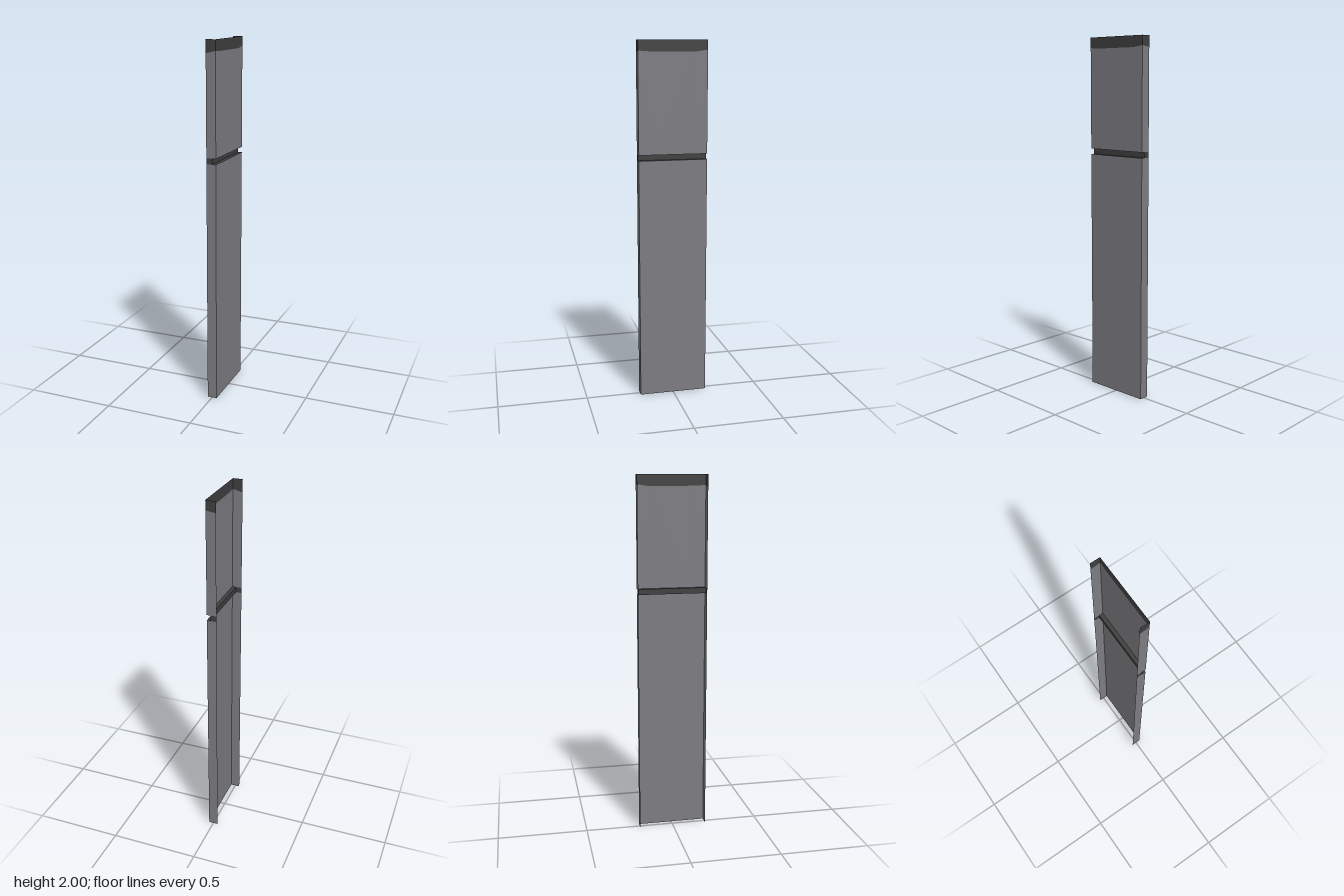
import * as THREE from 'three';

const X = 0.027, Z = 0.192;            // half depth and half width of the channel
const GROOVE_X = 0.005;                // face of the recessed groove
const GROOVE_LOW = 1.357, GROOVE_HIGH = 1.388;

// Open sheet that follows a plan path; each point is [x, z, bottom, top].
function sheet(name, path, material) {
  const pos = [];
  for (let i = 0; i < path.length - 1; i++) {
    const [x0, z0, b0, t0] = path[i];
    const [x1, z1, b1, t1] = path[i + 1];
    pos.push(x0, b0, z0, x1, b1, z1, x1, t1, z1);
    pos.push(x0, b0, z0, x1, t1, z1, x0, t0, z0);
  }
  const geometry = new THREE.BufferGeometry();
  geometry.setAttribute('position', new THREE.Float32BufferAttribute(pos, 3));
  geometry.computeVertexNormals();
  const mesh = new THREE.Mesh(geometry, material);
  mesh.name = name;
  return mesh;
}

// Three-sided channel: front flange, wide face on +x, back flange.
function channel(name, faceX, bottom, top, material) {
  const path = [[-X, Z], [faceX, Z], [faceX, -Z], [-X, -Z]];
  return sheet(name, path.map(([x, z]) => [x, z, bottom, top]), material);
}

export function createModel() {
  const group = new THREE.Group();
  group.name = 'channelPanel';

  const grey = new THREE.MeshStandardMaterial({ color: 0x7d7c82, side: THREE.DoubleSide });
  grey.name = 'panel grey';
  const dark = new THREE.MeshStandardMaterial({ color: 0x3e3f3e, side: THREE.DoubleSide });
  dark.name = 'trim charcoal';

  // Lower panel and the recessed groove above it
  group.add(channel('lowerPanel', X, 0, GROOVE_LOW, grey));
  group.add(channel('groove', GROOVE_X, GROOVE_LOW, GROOVE_HIGH, dark));

  // Ledges joining the groove to the panels
  for (const [name, y, turn] of [['lowerLedge', GROOVE_LOW, -1], ['upperLedge', GROOVE_HIGH, 1]]) {
    const ledge = new THREE.Mesh(new THREE.PlaneGeometry(X - GROOVE_X, 2 * Z), dark);
    ledge.rotation.x = turn * Math.PI / 2;
    ledge.position.set((X + GROOVE_X) / 2, y, 0);
    ledge.name = name;
    group.add(ledge);
  }

  // Upper panel and dark top band meet along a slightly sagging line
  const seam = [
    [-X, Z, 1.93], [X, Z, 1.943], [X, 0.13, 1.939],
    [X, -0.13, 1.939], [X, -Z, 1.948], [-X, -Z, 1.94],
  ];
  group.add(sheet('upperPanel', seam.map(([x, z, y]) => [x, z, GROOVE_HIGH, y]), grey));
  group.add(sheet('topBand', seam.map(([x, z, y]) => [x, z, y, 2]), dark));

  return group;
}
